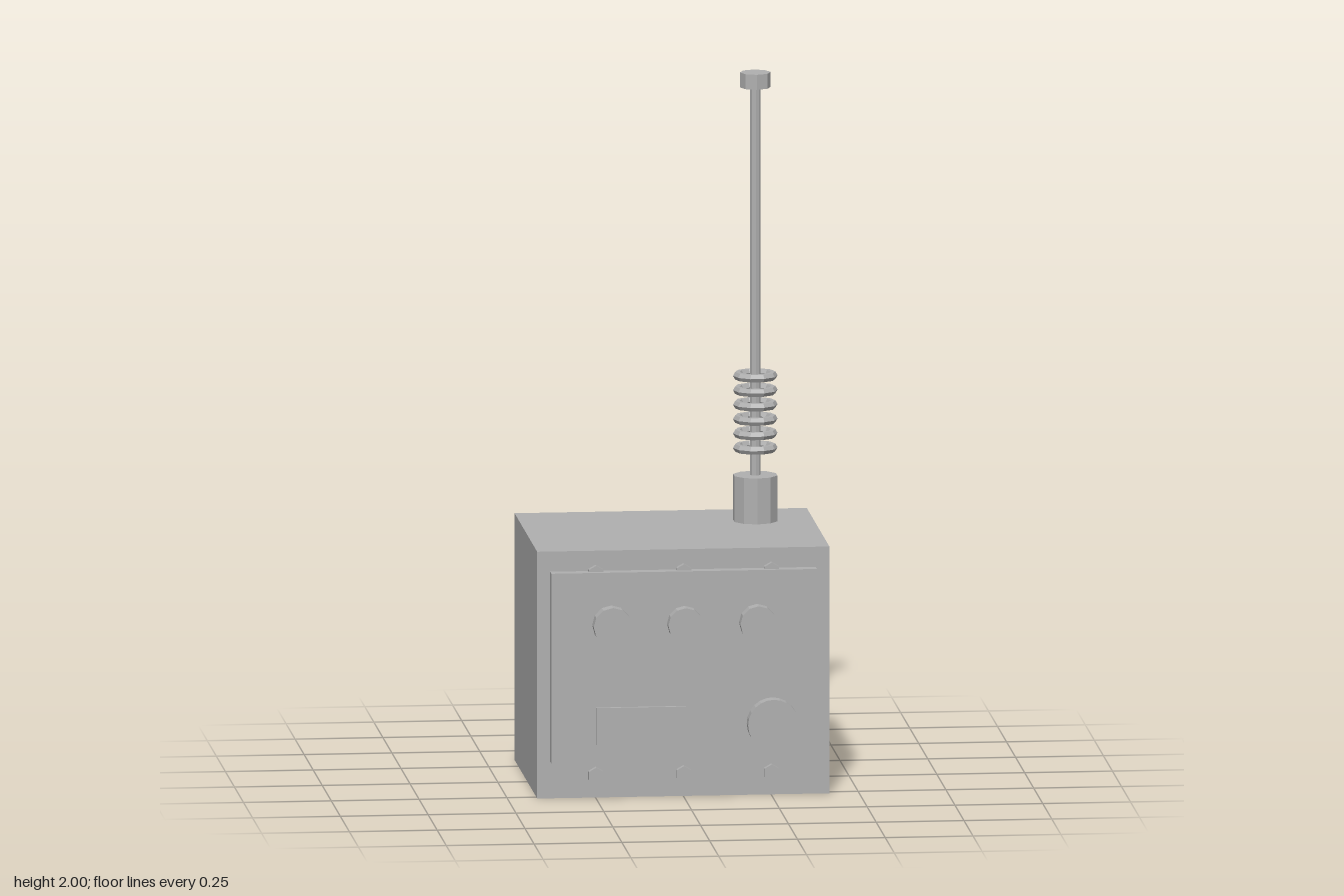
import * as THREE from 'three';

export function createModel() {
  const model = new THREE.Group();
  const grey = new THREE.MeshStandardMaterial({ color: 0xb0b0b0, flatShading: true });
  grey.name = 'grey metal';

  const add = (name, geometry, x, y, z, parent = model) => {
    const mesh = new THREE.Mesh(geometry, grey);
    mesh.name = name;
    mesh.position.set(x, y, z);
    parent.add(mesh);
    return mesh;
  };
  // Box given by its limits on each axis
  const block = (name, x0, x1, y0, y1, z0, z1) =>
    add(name, new THREE.BoxGeometry(x1 - x0, y1 - y0, z1 - z0), (x0 + x1) / 2, (y0 + y1) / 2, (z0 + z1) / 2);
  // Disc facing forward, from z0 to z1
  const disc = (name, x, y, r, z0, z1, sides) =>
    add(name, new THREE.CylinderGeometry(r, r, z1 - z0, sides).rotateX(Math.PI / 2), x, y, (z0 + z1) / 2);

  // Case, raised front panel and display
  block('case', -0.416, 0.416, 0, 0.71, -0.352, 0.273);
  block('frontPanel', -0.379, 0.377, 0.105, 0.652, 0.268, 0.307);
  block('display', -0.252, 0.003, 0.158, 0.265, 0.302, 0.318);

  // Three knobs and the large dial
  disc('knobRight', -0.208, 0.503, 0.055, 0.302, 0.35, 12);
  disc('knobCentre', 0, 0.503, 0.05, 0.302, 0.346, 12);
  disc('knobLeft', 0.207, 0.503, 0.052, 0.302, 0.348, 12);
  disc('dial', 0.25, 0.212, 0.073, 0.302, 0.347, 24);

  // Hexagonal screws above and below the panel
  for (const y of [0.065, 0.646])
    for (const x of [-0.25, 0, 0.25]) disc('screw', x, y, 0.024, 0.268, 0.292, 6);

  // Antenna: socket, rod, spring rings and end cap
  const antenna = new THREE.Group();
  antenna.name = 'antenna';
  antenna.position.set(0.25, 0, -0.165);
  model.add(antenna);
  const post = (name, r, y0, y1, sides) =>
    add(name, new THREE.CylinderGeometry(r, r, y1 - y0, sides), 0, (y0 + y1) / 2, 0, antenna);
  post('antennaSocket', 0.064, 0.7, 0.842, 10);
  post('antennaRod', 0.015, 0.83, 1.97, 8);
  post('antennaCap', 0.044, 1.957, 2, 8);
  for (let i = 0; i < 6; i++)
    add('springRing', new THREE.TorusGeometry(0.051, 0.0125, 6, 10).rotateX(Math.PI / 2), 0, 0.92 + i * 0.0415, 0, antenna);

  return model;
}
